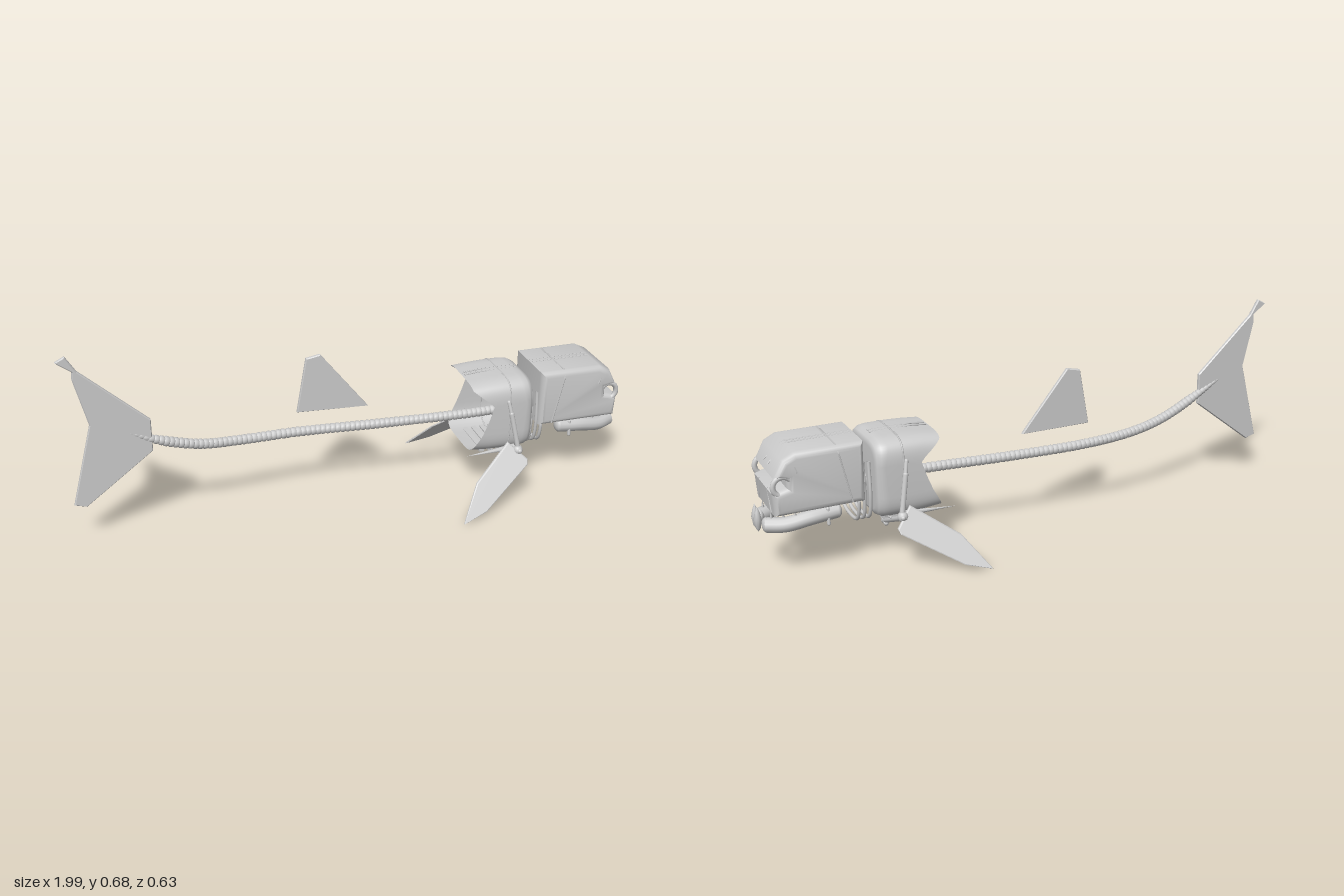
import * as THREE from 'three';
import { toCreasedNormals } from 'three/addons/utils/BufferGeometryUtils.js';

const mat = new THREE.MeshStandardMaterial({ color: 0xcccccc, side: THREE.DoubleSide });
const V = (x, y, z) => new THREE.Vector3(x, y, z);

export function createModel() {
  const root = new THREE.Group();
  const add = (name, geo, parent = root) => {
    const m = new THREE.Mesh(geo, mat);
    m.name = name;
    parent.add(m);
    return m;
  };
  const group = (name) => {
    const g = new THREE.Group();
    g.name = name;
    root.add(g);
    return g;
  };
  const shapeOf = (pts) => new THREE.Shape(pts.map(([x, y]) => new THREE.Vector2(x, y)));

  // Rounded rod between two points
  const rod = (name, a, b, r, parent) => {
    const m = add(name, new THREE.CapsuleGeometry(r, a.distanceTo(b), 4, 10), parent);
    m.position.copy(a).lerp(b, 0.5);
    m.quaternion.setFromUnitVectors(V(0, 1, 0), b.clone().sub(a).normalize());
    return m;
  };
  // Thin panel seam along a polyline
  const seam = (name, pts, parent) => {
    const path = new THREE.CurvePath();
    for (let i = 1; i < pts.length; i++) path.add(new THREE.LineCurve3(pts[i - 1], pts[i]));
    return add(name, new THREE.TubeGeometry(path, pts.length * 8, 0.003, 5), parent);
  };
  // Flat fin drawn in x and y, then leaned sideways by zAt(x, y)
  const fin = (name, pts, t, zAt) => {
    const g = new THREE.ExtrudeGeometry(shapeOf(pts), {
      depth: t * 0.5, bevelThickness: t * 0.25, bevelSize: 0.003, bevelOffset: -0.003, bevelSegments: 1 });
    g.translate(0, 0, -t * 0.25);
    const p = g.attributes.position;
    for (let i = 0; i < p.count; i++) p.setZ(i, p.getZ(i) + zAt(p.getX(i), p.getY(i)));
    g.computeVertexNormals();
    return add(name, g);
  };

  // Head block with a slot through it at eye height
  const head = group('head');
  const profile = [[0.675, 0.257], [0.932, 0.257], [0.935, 0.298], [0.888, 0.31], [0.888, 0.37],
    [0.922, 0.376], [0.905, 0.405], [0.875, 0.42], [0.675, 0.42]];
  const skull = new THREE.ExtrudeGeometry(shapeOf(profile), {
    depth: 0.19, bevelThickness: 0.023, bevelSize: 0.021, bevelSegments: 4 });
  skull.translate(0, 0, -0.095);
  add('skull', toCreasedNormals(skull, 0.7), head);
  for (const s of [-1, 1]) {
    const eye = add('eyeRing', new THREE.TorusGeometry(0.031, 0.009, 10, 28), head);
    eye.position.set(0.922, 0.335, s * 0.106);
    seam('cheekSeam', [V(0.7, 0.245, s * 0.118), V(0.74, 0.42, s * 0.118), V(0.743, 0.441, s * 0.096),
      V(0.743, 0.441, 0)], head);
    seam('browSeam', [V(0.875, 0.375, s * 0.118), V(0.892, 0.42, s * 0.113)], head);
    seam('crownSeam', [V(0.66, 0.44, s * 0.01), V(0.88, 0.441, s * 0.01), V(0.942, 0.386, s * 0.024)], head);
    seam('faceSeam', [V(0.955, 0.315, s * 0.045), V(0.953, 0.24, s * 0.07)], head);
  }

  // Lower jaw: two chunky halves closing at the front, with spindle teeth
  const jaw = group('jaw');
  for (const s of [-1, 1]) {
    const path = new THREE.CatmullRomCurve3([V(0.745, 0.213, s * 0.085), V(0.83, 0.205, s * 0.085),
      V(0.91, 0.19, s * 0.07), V(0.965, 0.188, s * 0.042)]);
    const half = new THREE.TubeGeometry(path, 24, 0.025, 12);
    add('jawHalf', half, jaw);
    for (const [t, y] of [[0, 0.213], [1, 0.188]]) {
      const p = path.getPoint(t);
      const end = add('jawEnd', new THREE.SphereGeometry(0.025, 12, 8), jaw);
      end.position.set(p.x, y, p.z);
      end.scale.x = 0.6;
    }
    rod('jawLink', V(0.78, 0.18, s * 0.105), V(0.78, 0.23, s * 0.1), 0.006, jaw);
    const spindle = [[0, -0.042], [0.008, -0.03], [0.013, 0], [0.008, 0.025], [0, 0.045]]
      .map(([r, y]) => new THREE.Vector2(r, y));
    const tooth = add('frontTooth', new THREE.LatheGeometry(spindle, 10), jaw);
    tooth.position.set(0.985, 0.2, s * 0.014);
    for (let i = 0; i < 3; i++) {
      const side = add('sideTooth', new THREE.ConeGeometry(0.008, 0.04, 6), jaw);
      side.position.set(0.95 - i * 0.035, 0.218, s * (0.05 + i * 0.015));
    }
  }

  // Body shell: rounded sections, closed at the front, notched and open at the back
  const rearKeys = [[0.15, 0.39], [0.18, 0.395], [0.26, 0.44], [0.35, 0.47], [0.41, 0.395], [0.45, 0.39]];
  const rearX = (y) => {
    let i = 1;
    while (i < rearKeys.length - 1 && y > rearKeys[i][0]) i++;
    const [y0, x0] = rearKeys[i - 1], [y1, x1] = rearKeys[i];
    return x0 + (x1 - x0) * (y - y0) / (y1 - y0);
  };
  const power = (v, h) => Math.sign(v) * Math.abs(v) ** 0.42 * h;
  const sections = [[0, 0.94], [0.25, 0.98], [0.5, 1], [0.8, 1], [0.9, 0.98], [0.97, 0.92], [1, 0.8], [1, 0]];
  const N = 56, pos = [], idx = [];
  sections.forEach(([u, k], j) => {
    for (let i = 0; i < N; i++) {
      const a = i / N * Math.PI * 2;
      const y = 0.295 + power(Math.sin(a), 0.137 * k), z = power(Math.cos(a), 0.135 * (u < 0.5 ? 1 : k));
      const back = rearX(y);
      pos.push(back + (0.622 - back) * u, y, z);
      if (j) {
        const n = (i + 1) % N, p = (j - 1) * N, q = j * N;
        idx.push(p + i, q + i, p + n, p + n, q + i, q + n);
      }
    }
  });
  const shell = new THREE.BufferGeometry();
  shell.setAttribute('position', new THREE.Float32BufferAttribute(pos, 3));
  shell.setIndex(idx);
  shell.computeVertexNormals();
  const body = group('body');
  add('bodyShell', shell, body);
  const hoop = [];
  for (let i = 0; i <= 40; i++) {
    const a = i / 40 * Math.PI * 2;
    hoop.push(V(0.53, 0.295 + power(Math.sin(a), 0.137), power(Math.cos(a), 0.135)));
  }
  seam('bodyHoopSeam', hoop, body);
  for (const s of [-1, 1]) seam('backSeam', [V(0.4, 0.426, s * 0.01), V(0.45, 0.431, s * 0.01),
    V(0.6, 0.43, s * 0.01)], body);

  // Neck: short core and ribs filling the gap between body and head
  const neck = group('neck');
  rod('neckCore', V(0.6, 0.27, 0), V(0.68, 0.27, 0), 0.03, neck);
  for (const x of [0.632, 0.652, 0.672]) {
    const rib = new THREE.CatmullRomCurve3([V(x, x < 0.66 ? 0.36 : 0.24, 0.085), V(x, 0.23, 0.09),
      V(x, 0.165, 0.07), V(x, 0.15, 0), V(x, 0.165, -0.07), V(x, 0.23, -0.09),
      V(x, x < 0.66 ? 0.36 : 0.24, -0.085)]);
    add('neckRib', new THREE.TubeGeometry(rib, 36, 0.006, 8), neck);
  }

  // Belly slats
  for (let i = 0; i < 5; i++) {
    const slat = add('bellySlat', new THREE.BoxGeometry(0.018, 0.014, 0.17), body);
    slat.position.set(0.45 + i * 0.033, 0.157, 0);
  }

  // Shoulder frame, spikes and pectoral fins, mirrored
  const frame = group('shoulderFrame');
  const pectoral = [[0.3, 0.005], [0.39, 0.03], [0.575, 0.14], [0.58, 0.155], [0.52, 0.21], [0.375, 0.11]];
  for (const s of [-1, 1]) {
    rod('upperStrut', V(0.53, 0.318, s * 0.146), V(0.555, 0.18, s * 0.165), 0.009, frame);
    rod('upperStrutTop', V(0.522, 0.36, s * 0.135), V(0.53, 0.318, s * 0.146), 0.007, frame);
    rod('chestStrut', V(0.555, 0.183, s * 0.177), V(0.555, 0.1, -s * 0.012), 0.009, frame);
    rod('breastStrut', V(0.58, 0.172, s * 0.13), V(0.58, 0.143, 0), 0.004, frame);
    const joint = add('shoulderJoint', new THREE.SphereGeometry(0.018, 12, 8), frame);
    joint.position.set(0.552, 0.182, s * 0.165);
    const spike = add('sideSpike', new THREE.ConeGeometry(0.012, 0.19, 8), frame);
    spike.position.set(0.455, 0.18, s * 0.145);
    spike.rotation.set(0, s * 0.1, Math.PI / 2);
    fin('pectoralFin', pectoral, 0.01, (x, y) => s * (0.315 - 0.8 * y));
  }

  // Spine: beads along a gentle curve, thinning inside the tail
  const spine = group('spine');
  const curve = new THREE.CatmullRomCurve3([V(0.58, 0.268, 0), V(0.4, 0.267, 0), V(0.1, 0.264, -0.022),
    V(-0.2, 0.267, -0.04), V(-0.4, 0.275, -0.024), V(-0.55, 0.297, 0.005), V(-0.7, 0.35, 0.03),
    V(-0.78, 0.39, 0.034), V(-0.85, 0.425, 0.035)]);
  const beads = 82;
  for (let i = 0; i < beads; i++) {
    const u = (i + 0.5) / beads, r = u < 0.86 ? 0.0175 : 0.0175 - (u - 0.86) * 0.095;
    const outline = [[0.8, -0.0095], [1, -0.005], [1, 0.005], [0.8, 0.0095]]
      .map(([k, y]) => new THREE.Vector2(r * k, y));
    const bead = add('vertebra', new THREE.LatheGeometry(outline, 12), spine);
    bead.position.copy(curve.getPointAt(u));
    bead.quaternion.setFromUnitVectors(V(0, 1, 0), curve.getTangentAt(u));
  }

  // Dorsal and tail fins
  fin('dorsalFin', [[-0.2, 0.345], [-0.165, 0.545], [-0.115, 0.555], [0.055, 0.34]], 0.015,
    (x) => -0.03 + x * 0.04);
  fin('tailFin', [[-0.712, 0.43], [-0.932, 0.632], [-0.965, 0.687], [-0.997, 0.67], [-0.947, 0.632],
    [-0.95, 0.605], [-0.91, 0.437], [-0.985, 0.15], [-0.945, 0.138], [-0.712, 0.315]], 0.016, () => 0.035);
  return root;
}
